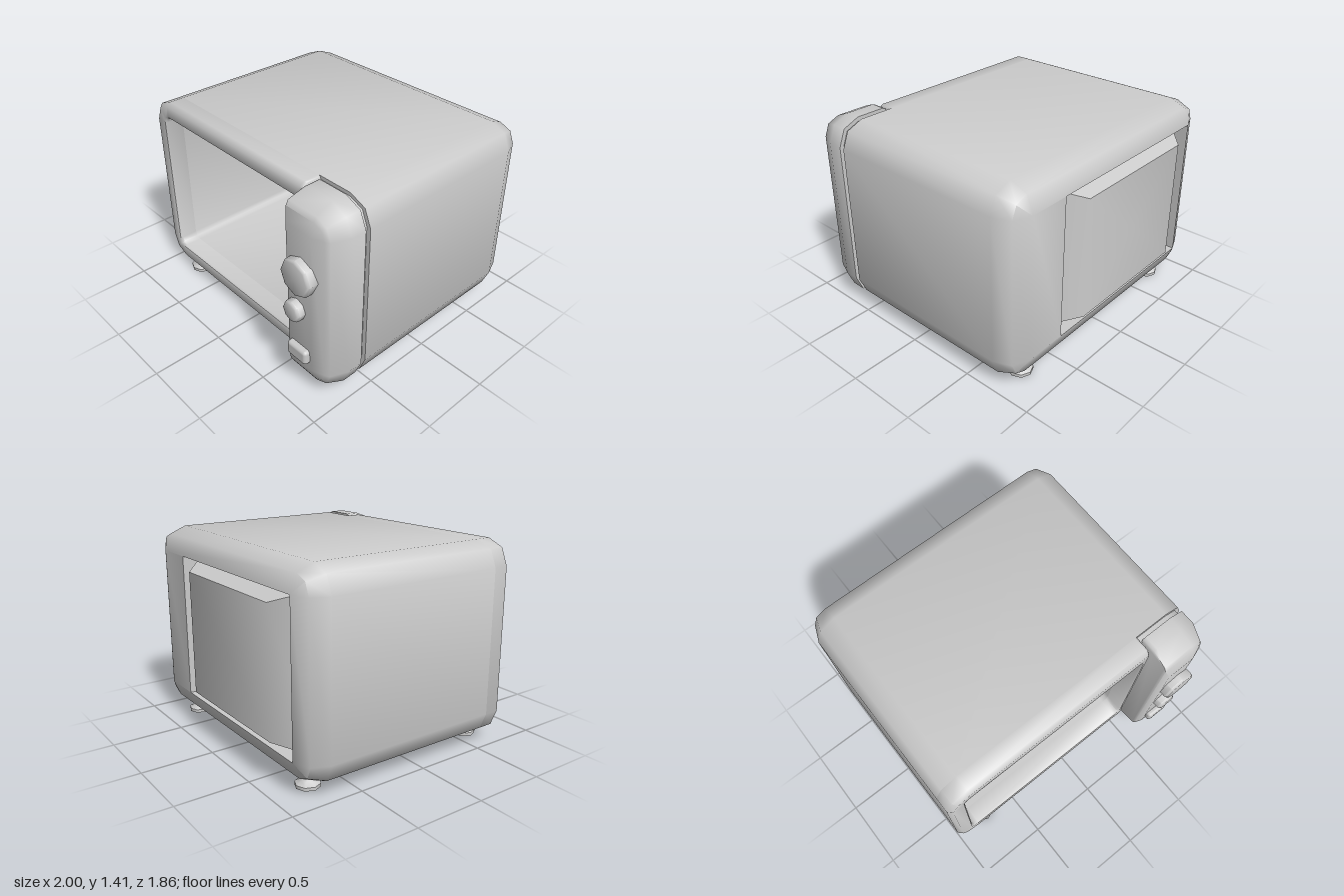
import * as THREE from 'three';
import { toCreasedNormals } from 'three/addons/utils/BufferGeometryUtils.js';
import { RoundedBoxGeometry } from 'three/addons/geometries/RoundedBoxGeometry.js';

const grey = new THREE.MeshStandardMaterial({ color: 0xcccccc });

// Rounded rectangle at depth z, counter-clockwise seen from +z.
// rl and rr are the radii of the left (-x) and right (+x) corners, two segments each.
function ring(z, x0, x1, y0, y1, rl = 0, rr = rl) {
  const corners = [[x1, y0, -1, 1, rr, -90], [x1, y1, -1, -1, rr, 0], [x0, y1, 1, -1, rl, 90], [x0, y0, 1, 1, rl, 180]];
  const pts = [];
  for (const [x, y, sx, sy, r, start] of corners) {
    for (let k = 0; k < 3; k++) {
      const a = THREE.MathUtils.degToRad(start + k * 45);
      pts.push(new THREE.Vector3(x + sx * r + r * Math.cos(a), y + sy * r + r * Math.sin(a), z));
    }
  }
  return pts;
}

// A ring shrunk to a point, used to close a loft
const point = (z, x, y) => ring(z, x, x, y, y);

// Skin through a sequence of rings, smooth except at strong corners
function loft(rings) {
  const pos = [];
  const tri = (a, b, c) => {
    const area = b.clone().sub(a).cross(c.clone().sub(a)).length();
    if (area > 1e-7) for (const p of [a, b, c]) pos.push(p.x, p.y, p.z);
  };
  for (let j = 0; j + 1 < rings.length; j++) {
    const a = rings[j], b = rings[j + 1];
    for (let i = 0; i < a.length; i++) {
      const n = (i + 1) % a.length;
      tri(a[i], a[n], b[n]);
      tri(a[i], b[n], b[i]);
    }
  }
  const g = new THREE.BufferGeometry();
  g.setAttribute('position', new THREE.Float32BufferAttribute(pos, 3));
  return toCreasedNormals(g, 0.9);
}

function lathe(points, sides) {
  const g = new THREE.LatheGeometry(points.map(([x, y]) => new THREE.Vector2(x, y)), sides);
  return toCreasedNormals(g, 0.85);
}

export function createModel() {
  const group = new THREE.Group();
  const add = (name, geometry, x = 0, y = 0, z = 0) => {
    const m = new THREE.Mesh(geometry, grey);
    m.name = name;
    m.position.set(x, y, z);
    group.add(m);
    return m;
  };

  const R = 0.165, bottom = 0.07, top = 1.41;
  const opening = (z, inset = 0) => ring(z, -0.88 + inset, 0.55 - inset, 0.19 + inset, 1.29 - inset, 0.05);
  const shell = (z, inset) => ring(z, -1 + inset, 1 - inset, bottom + inset, top - inset, R - inset);

  // Casing: rear bulge, recess around it, rounded outer shell, then the oven cavity
  add('casing', loft([
    point(-0.93, -0.145, 0.74),
    ring(-0.93, -0.65, 0.36, 0.305, 1.17),
    ring(-0.74, -0.835, 0.54, 0.235, 1.245),
    ring(-0.89, -0.835, 0.54, 0.235, 1.245),
    shell(-0.89, R),
    shell(-0.842, 0.048),
    shell(-0.725, 0),
    shell(0.565, 0),
    opening(0.565),
    opening(-0.71),
    opening(-0.735, 0.03),
    point(-0.735, -0.165, 0.74),
  ]));

  // Frame around the cavity mouth
  add('frontFrame', loft([
    ring(0.565, -1, 0.59, bottom, top, R, 0.02),
    ring(0.67, -1, 0.59, bottom, top, R, 0.02),
    ring(0.70, -0.97, 0.58, bottom + 0.03, top - 0.03, R - 0.03, 0.02),
    opening(0.70, -0.01),
    opening(0.685),
    opening(0.565),
  ]));

  // Recessed neck that leaves a groove behind the control panel
  add('panelNeck', loft([
    ring(0.55, 0.58, 0.97, bottom + 0.025, top - 0.025, 0.01, R - 0.03),
    ring(0.61, 0.58, 0.97, bottom + 0.025, top - 0.025, 0.01, R - 0.03),
  ]));

  // Control panel, rounded on its outer side
  const panel = (z, inset, left) => ring(z, 0.6 + left, 1 - inset, 0.065 + inset, 1.415 - inset,
    Math.max(0, 0.03 - inset), R - inset);
  add('controlPanel', loft([
    point(0.60, 0.8, 0.74),
    panel(0.60, 0, 0),
    panel(0.705, 0, 0),
    panel(0.822, 0.048, 0),
    panel(0.84, 0.08, 0),
    panel(0.87, R, 0.03),
    point(0.87, 0.73, 0.74),
  ]));

  // Octagonal knobs with a bevelled front edge
  for (const [name, x, y, r] of [['largeKnob', 0.757, 0.945, 0.127], ['smallKnob', 0.714, 0.665, 0.074]]) {
    const knob = add(name, lathe([[0, 0], [r, 0], [r, 0.072], [r - 0.006, 0.084], [r - 0.018, 0.09], [0, 0.09]], 8), x, y, 0.84);
    knob.rotation.x = Math.PI / 2;
  }
  add('button', new RoundedBoxGeometry(0.175, 0.107, 0.08, 2, 0.025), 0.733, 0.329, 0.87);

  // Feet
  const foot = lathe([[0, 0], [0.084, 0], [0.084, 0.022], [0.045, 0.042], [0.032, 0.06], [0.032, 0.1]], 8);
  for (const x of [-0.745, 0.74]) {
    for (const z of [0.615, -0.725]) add('foot', foot, x, 0, z);
  }
  return group;
}
